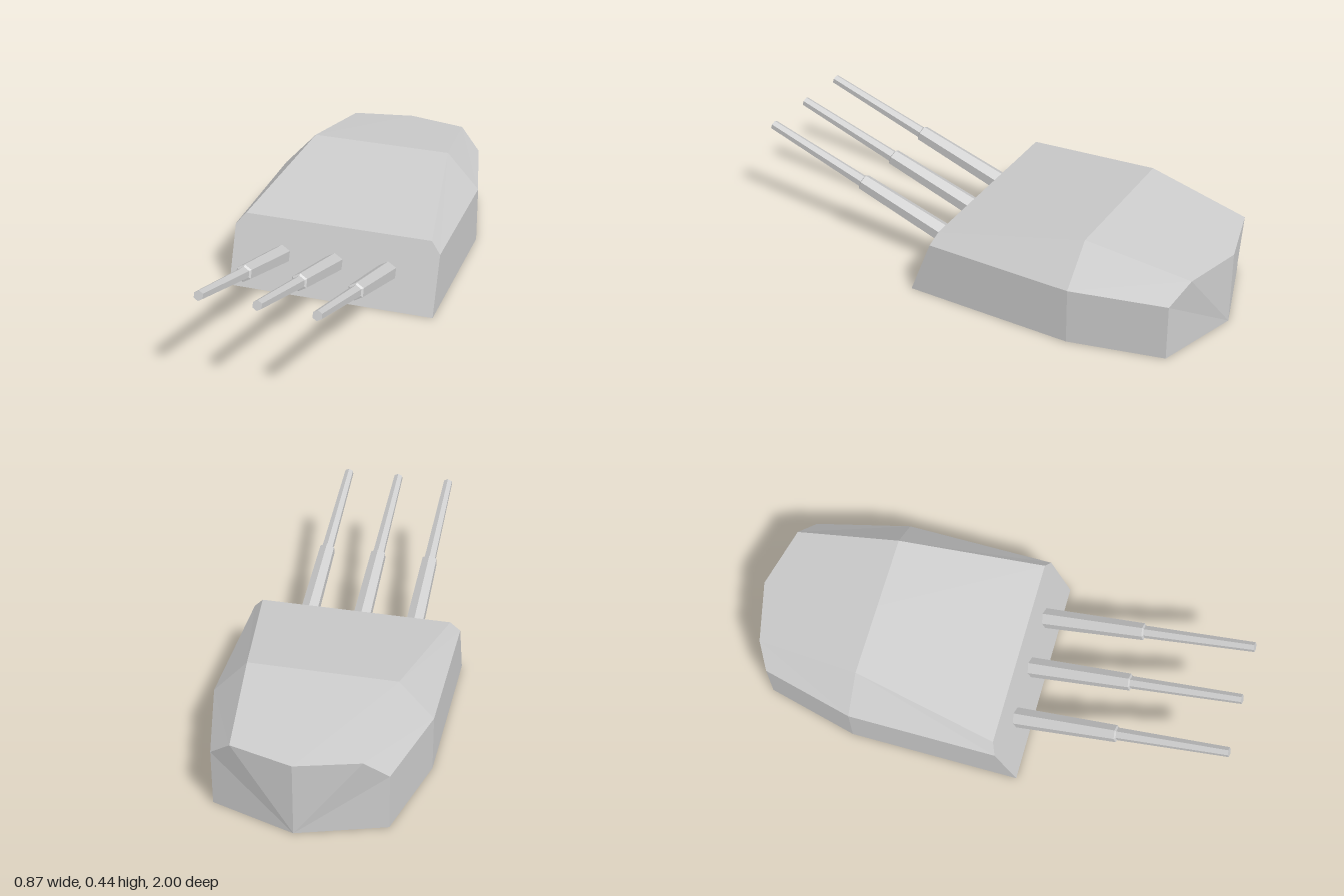
import * as THREE from 'three';

const material = new THREE.MeshStandardMaterial({
  color: 0xcccccc, flatShading: true, side: THREE.DoubleSide,
});

// Faceted armour shell, open underneath: half is listed, the other half mirrored
function createShell() {
  const p = {
    // lower rim
    bottomFront: [0.435, 0, 0.195], bottomMid: [0.435, 0, -0.51], bottomRear: [0.34, 0, -0.89],
    // shoulder, where the walls meet the bevel
    sideFront: [0.435, 0.24, 0.103], sideMid: [0.435, 0.24, -0.51], sideRear: [0.34, 0.24, -0.89],
    // roof edge
    roofFront: [0.395, 0.287, 0.085], roofMid: [0.297, 0.392, -0.51], roofRear: [0.25, 0.322, -0.937],
    // centre line
    keelFront: [0, 0, 0.195], keelRear: [0, 0, -1],
    ridgeFront: [0, 0.287, 0.085], ridgeMid: [0, 0.392, -0.51], ridgeRear: [0, 0.315, -1],
  };
  const faces = [
    ['bottomFront', 'bottomMid', 'sideMid', 'sideFront'],
    ['bottomMid', 'bottomRear', 'sideRear', 'sideMid'],
    ['sideFront', 'sideMid', 'roofMid', 'roofFront'],
    ['sideMid', 'sideRear', 'roofRear', 'roofMid'],
    ['roofFront', 'roofMid', 'ridgeMid', 'ridgeFront'],
    ['roofMid', 'roofRear', 'ridgeRear', 'ridgeMid'],
    ['keelRear', 'ridgeRear', 'roofRear', 'sideRear', 'bottomRear'],
    ['keelFront', 'bottomFront', 'sideFront', 'roofFront', 'ridgeFront'],
  ];
  const positions = [];
  const addFan = (corners) => {
    for (let i = 1; i < corners.length - 1; i++) {
      positions.push(...corners[0], ...corners[i], ...corners[i + 1]);
    }
  };
  for (const face of faces) {
    const corners = face.map((name) => p[name]);
    addFan(corners);
    const [first, ...rest] = corners.map(([x, y, z]) => [-x, y, z]);
    addFan([first, ...rest.reverse()]);
  }
  const geometry = new THREE.BufferGeometry();
  geometry.setAttribute('position', new THREE.Float32BufferAttribute(positions, 3));
  geometry.computeVertexNormals();
  const shell = new THREE.Mesh(geometry, material);
  shell.name = 'turretShell';
  return shell;
}

// Six-sided stepped barrel, closed at the muzzle and open at the breech
function createBarrelGeometry() {
  const profile = [
    [0.042, 0], [0.035, 0.447], [0.026, 0.452], [0.02, 0.913], [0, 0.913],
  ].map(([r, y]) => new THREE.Vector2(r, y));
  return new THREE.LatheGeometry(profile, 6);
}

export function createModel() {
  const model = new THREE.Group();
  model.name = 'gunTurret';
  model.add(createShell());

  // Three barrels raised 18 degrees
  const barrelGeometry = createBarrelGeometry();
  const names = ['rightBarrel', 'centreBarrel', 'leftBarrel'];
  names.forEach((name, i) => {
    const barrel = new THREE.Mesh(barrelGeometry, material);
    barrel.name = name;
    barrel.position.set((i - 1) * 0.226, 0.142, 0.125);
    barrel.rotation.x = THREE.MathUtils.degToRad(90 - 18);
    model.add(barrel);
  });
  return model;
}
